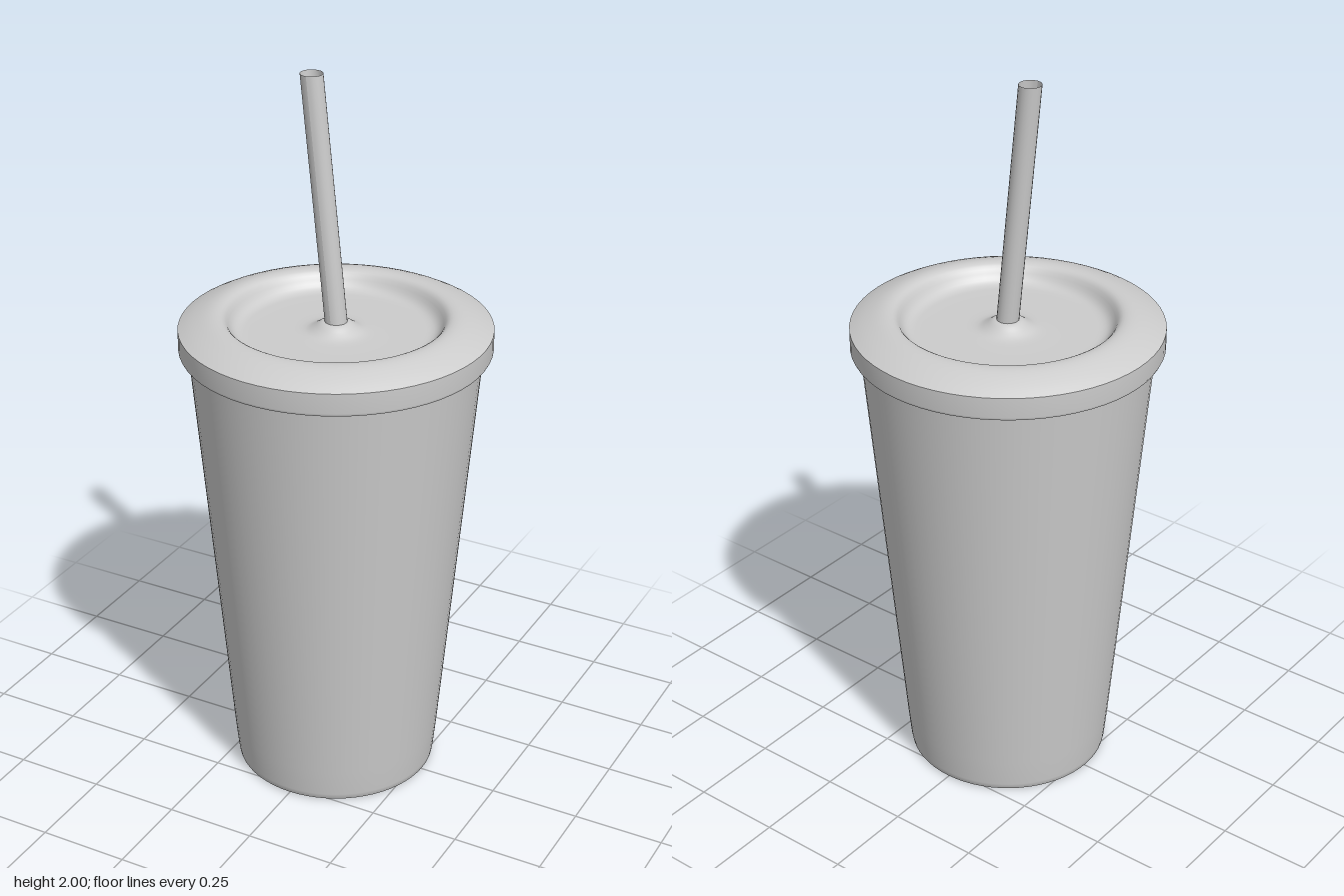
import * as THREE from 'three';

const SEG = 64;

// Turned surface from [radius, height] pairs
function turned(name, points, material) {
  const profile = points.map(([r, y]) => new THREE.Vector2(r, y));
  const mesh = new THREE.Mesh(new THREE.LatheGeometry(profile, SEG), material);
  mesh.name = name;
  return mesh;
}

export function createModel() {
  const plastic = new THREE.MeshStandardMaterial({ color: 0xcccccc, side: THREE.DoubleSide });
  plastic.name = 'grey plastic';

  const model = new THREE.Group();
  model.name = 'lidded cup with straw';

  // Tapered cup wall with a slightly rounded foot
  model.add(turned('cupWall', [[0.272, 0], [0.278, 0.004], [0.281, 0.02], [0.289, 0.1], [0.392, 1.28]], plastic));

  // Hollow under the cup: inner foot wall and raised floor
  model.add(turned('footWall', [[0.275, 0.07], [0.272, 0]], plastic));
  model.add(turned('cupFloor', [[0, 0.07], [0.275, 0.07]], plastic));

  // Lid: underside, rim band, then a smooth top with a dished centre
  model.add(turned('lidUnderside', [[0.385, 1.262], [0.412, 1.262]], plastic));
  model.add(turned('lidRim', [[0.412, 1.262], [0.416, 1.27], [0.416, 1.325]], plastic));
  const top = new THREE.SplineCurve([
    [0.416, 1.325], [0.385, 1.341], [0.345, 1.356], [0.315, 1.36], [0.293, 1.352],
    [0.275, 1.325], [0.255, 1.312], [0.22, 1.31], [0.14, 1.31], [0.085, 1.312],
    [0.06, 1.322], [0.04, 1.335], [0.025, 1.338], [0, 1.338],
  ].map(([r, y]) => new THREE.Vector2(r, y)));
  model.add(turned('lidTop', top.getPoints(40).map((p) => [Math.max(p.x, 0), p.y]), plastic));

  // Leaning open straw with level ends
  const bottom = 1.32, height = 2 - bottom;
  const tube = new THREE.CylinderGeometry(0.03, 0.03, height, 20, 1, true);
  tube.translate(0, height / 2, 0);
  tube.applyMatrix4(new THREE.Matrix4().makeShear(0, 0, -0.105, 0, 0, 0));
  const pos = tube.attributes.position;
  for (let i = 0; i < pos.count; i++) {
    // Lean to the right while keeping each ring horizontal
    const a = (i % 21) / 20 * Math.PI * 2;
    const y = i < 21 ? height : 0;
    pos.setXYZ(i, Math.sin(a) * 0.03 + 0.002 - 0.105 * y, y, Math.cos(a) * 0.03);
  }
  tube.computeVertexNormals();
  const straw = new THREE.Mesh(tube, plastic);
  straw.name = 'straw';
  straw.position.y = bottom;
  model.add(straw);

  return model;
}
